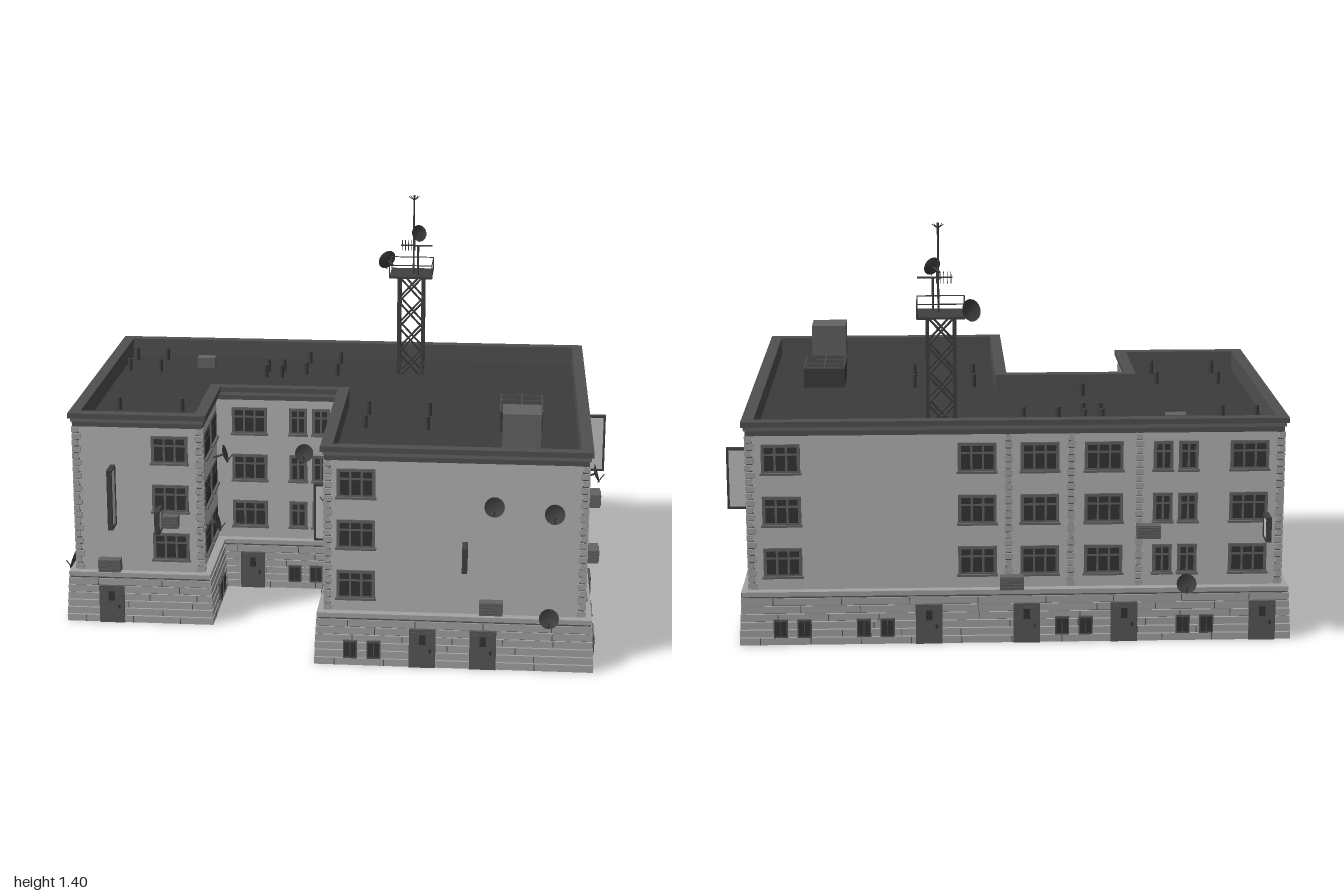
import * as THREE from 'three';

const mat = (name, color, side = THREE.FrontSide) => {
  const m = new THREE.MeshStandardMaterial({ color, side });
  m.name = name;
  return m;
};
const D = THREE.DoubleSide;
const M = {
  wall: mat('pale plaster', 0xb4b4b4, D), stone: mat('plinth stone', 0xa3a3a3), joint: mat('joint grey', 0x565656),
  frame: mat('window frame', 0x636363), glass: mat('dark glass', 0x343434), door: mat('door grey', 0x585858),
  trim: mat('cornice grey', 0x505050), roof: mat('roof felt', 0x3b3b3b, D), metal: mat('dark metal', 0x404040, D),
  panel: mat('sign panel', 0xc2c2c2),
};

// Wall corners as (x, -z), pushed outwards by o
function outline(o) {
  const left = -0.89 - o, right = 0.9 + o, back = 0.71 + o, courtL = -0.44 + o, courtR = 0.03 - o;
  const wing = -0.38 - o, court = 0.01 - o, front = -0.7 - o;
  return [[left, wing], [courtL, wing], [courtL, court], [courtR, court], [courtR, front], [right, front], [right, back], [left, back]]
    .map(p => new THREE.Vector2(...p));
}

const add = (parent, name, geo, m, x = 0, y = 0, z = 0) => {
  const mesh = new THREE.Mesh(geo, m);
  mesh.name = name;
  mesh.position.set(x, y, z);
  parent.add(mesh);
  return mesh;
};
const box = (p, name, m, w, h, d, x, y, z) => add(p, name, new THREE.BoxGeometry(w, h, d), m, x, y, z);

// Horizontal ring following the outline
function ring(p, name, m, outer, inner, y0, y1) {
  const s = new THREE.Shape(outline(outer));
  s.holes.push(new THREE.Path(outline(inner).reverse()));
  const g = new THREE.ExtrudeGeometry(s, { depth: y1 - y0, bevelEnabled: false });
  g.rotateX(-Math.PI / 2);
  add(p, name, g, m, 0, y0, 0);
}

// Straight bar between two points
function bar(p, name, m, a, b, r, sides = 5) {
  const A = new THREE.Vector3(...a), B = new THREE.Vector3(...b), v = B.clone().sub(A);
  const mesh = add(p, name, new THREE.CylinderGeometry(r, r, v.length(), sides), m);
  mesh.position.copy(A).add(B).multiplyScalar(0.5);
  mesh.quaternion.setFromUnitVectors(new THREE.Vector3(0, 1, 0), v.normalize());
}

function makeWindow(p, u, y, w) {
  const g = new THREE.Group();
  g.name = 'window';
  g.position.set(u, y, 0);
  const n = w > 0.1 ? 3 : 2, pane = (w - 0.014) / n;
  box(g, 'windowFrame', M.frame, w, 0.1, 0.012, 0, 0, 0);
  for (let i = 0; i < n; i++) {
    const x = (i - (n - 1) / 2) * pane;
    box(g, 'lowerPane', M.glass, pane - 0.008, 0.052, 0.016, x, -0.014, 0);
    box(g, 'upperPane', M.glass, pane - 0.008, 0.02, 0.016, x, 0.03, 0);
  }
  box(g, 'windowSill', M.frame, w + 0.008, 0.007, 0.022, 0, -0.051, 0.004);
  p.add(g);
}

function makeDoor(p, u) {
  box(p, 'doorFrame', M.joint, 0.09, 0.138, 0.03, u, 0.069, 0.029);
  box(p, 'door', M.door, 0.076, 0.128, 0.033, u, 0.065, 0.029);
  box(p, 'doorWindow', M.glass, 0.022, 0.035, 0.036, u, 0.102, 0.029);
  box(p, 'doorHandle', M.glass, 0.008, 0.014, 0.037, u + 0.026, 0.062, 0.029);
}

function makeCellarWindow(p, u) {
  box(p, 'cellarFrame', M.joint, 0.048, 0.064, 0.03, u, 0.058, 0.028);
  for (const k of [-1, 1]) box(p, 'cellarPane', M.glass, 0.018, 0.052, 0.033, u + k * 0.0105, 0.058, 0.028);
}

// Shallow bowl with feed and bracket, facing +z
function makeDish(p, x, y, z, r = 0.034, ry = 0) {
  const g = new THREE.Group();
  g.name = 'satelliteDish';
  const pts = [0, 0.35, 0.7, 1].map(t => new THREE.Vector2(t * r, t * t * r * 0.3));
  const bowl = add(g, 'dishBowl', new THREE.LatheGeometry(pts, 16), M.metal);
  bowl.rotation.x = Math.PI / 2 - 0.3;
  bar(g, 'dishFeed', M.metal, [0, -r * 0.9, 0.012], [0, 0, r], 0.002);
  bar(g, 'dishBracket', M.metal, [0, 0, 0], [0, -0.012, -0.035], 0.004);
  g.position.set(x, y, z);
  g.rotation.y = ry;
  p.add(g);
}

function makeAirUnit(p, u, y) {
  box(p, 'airUnit', M.frame, 0.08, 0.045, 0.036, u, y, 0.03);
  for (let i = 0; i < 4; i++) box(p, 'airUnitLouvre', M.joint, 0.07, 0.004, 0.004, u, y - 0.015 + i * 0.01, 0.049);
}

// Framed board standing out from a wall
function makeSign(p, u, y, h) {
  const reach = 0.075, z = 0.03 + reach / 2;
  box(p, 'signPanel', M.panel, 0.012, h - 0.012, reach - 0.012, u, y, z);
  for (const k of [-1, 1]) {
    box(p, 'signFrame', M.metal, 0.018, 0.008, reach, u, y + k * (h / 2 - 0.004), z);
    box(p, 'signFrame', M.metal, 0.018, h, 0.008, u, y, z + k * (reach / 2 - 0.004));
    bar(p, 'signBracket', M.metal, [u, y + k * h * 0.35, 0], [u, y + k * h * 0.35, 0.035], 0.003);
  }
}

// Alternating stones at a corner (dir inwards) or as a pilaster (dir 0)
function makeQuoins(p, u, dir) {
  for (let i = 0; i < 22; i++) {
    const w = i % 2 ? 0.018 : 0.028, y = 0.198 + i * 0.0243;
    box(p, 'quoin', M.stone, w, 0.0205, 0.014, u + dir * (w / 2 - 0.006), y, 0.002);
    box(p, 'quoinJoint', M.joint, 0.02, 0.004, 0.008, u + dir * 0.007, y + 0.0122, 0.001);
  }
}

const pairs = (list, gap) => (list || []).flatMap(t => [t - gap / 2, t + gap / 2]);

// Facade on outline edge i; positions in f are world x or z along the wall
function makeFacade(root, f, i) {
  const pts = outline(0), A = pts[i], B = pts[(i + 1) % 8];
  const a = Math.atan2(B.y - A.y, B.x - A.x), c = Math.round(Math.cos(a)), n = Math.round(Math.sin(a));
  const s = c - n, u0 = A.x * c + A.y * n, u1 = B.x * c + B.y * n, d = A.x * n - A.y * c;
  const g = new THREE.Group();
  g.name = f.name;
  g.rotation.y = a;
  g.position.set(n * d, 0, c * d);
  const rect = (P, x0, x1, y0, y1) => new P([[x0, y0], [x1, y0], [x1, y1], [x0, y1]].map(q => new THREE.Vector2(...q)));
  const wall = rect(THREE.Shape, u0, u1, 0.17, 0.73);
  const windows = (w, list) => list.forEach(t => [0.28, 0.46, 0.64].forEach(y => {
    const h = w / 2 - 0.002;
    wall.holes.push(rect(THREE.Path, t * s - h, t * s + h, y - 0.048, y + 0.048));
    makeWindow(g, t * s, y, w);
  }));
  windows(0.13, f.wide || []);
  windows(0.066, pairs(f.twin, 0.085));
  add(g, 'wall', new THREE.ShapeGeometry(wall), M.wall);
  // Quoins on outward corners only
  if (i !== 2 && i !== 3) makeQuoins(g, u0, 1);
  if (i !== 1 && i !== 2) makeQuoins(g, u1, -1);
  // Staggered joints in the plinth courses
  for (let r = 0; r < 6; r++) for (let u = u0 + 0.03 + (r * 0.077) % 0.17; u < u1; u += 0.17 + 0.03 * (r % 3))
    box(g, 'stoneJoint', M.joint, 0.003, 0.0235, 0.004, u, r * 0.0275 + 0.012, 0.038 - r * 0.0015);
  const each = (list, build) => (list || []).forEach(([t, y]) => build(t * s, y));
  (f.pilasters || []).forEach(t => makeQuoins(g, t * s, 0));
  (f.doors || []).forEach(t => makeDoor(g, t * s));
  pairs(f.cellar, 0.08).forEach(t => makeCellarWindow(g, t * s));
  each(f.dishes, (u, y) => makeDish(g, u, y, 0.038));
  each(f.air, (u, y) => makeAirUnit(g, u, y));
  each(f.tallSigns, (u, y) => makeSign(g, u, y, 0.22));
  each(f.smallSigns, (u, y) => makeSign(g, u, y, 0.085));
  root.add(g);
}

const FACADES = [
  { name: 'leftWingFacade', wide: [-0.552], doors: [-0.765], air: [[-0.77, 0.215], [-0.56, 0.385]],
    tallSigns: [[-0.75, 0.48]], smallSigns: [[-0.585, 0.4]] },
  { name: 'courtLeftFacade', wide: [0.1, 0.27], cellar: [0.18], dishes: [[0.1, 0.54], [0.31, 0.35]] },
  { name: 'courtBackFacade', wide: [-0.317], twin: [-0.094], doors: [-0.305], cellar: [-0.108], dishes: [[-0.11, 0.53]] },
  { name: 'courtRightFacade', wide: [0.14, 0.36, 0.58], doors: [0.36], cellar: [0.18, 0.56], dishes: [[0.14, 0.4]],
    tallSigns: [[0.03, 0.305]] },
  { name: 'rightWingFacade', wide: [0.131], doors: [0.36, 0.565], cellar: [0.155], air: [[0.59, 0.22]],
    dishes: [[0.595, 0.58], [0.795, 0.56], [0.785, 0.19]], smallSigns: [[0.5, 0.41]] },
  { name: 'rightFacade', wide: [0.588], twin: [-0.123, -0.353, -0.588], pilasters: [0], doors: [0.14, -0.565],
    cellar: [0.575, 0.358, -0.353], dishes: [[0.33, 0.575]], air: [[0.58, 0.57], [0.59, 0.375]], tallSigns: [[-0.36, 0.48]] },
  { name: 'backFacade', wide: [0.79, 0.135, -0.075, -0.29, -0.78], twin: [-0.532], pilasters: [0.03, -0.18, -0.41],
    doors: [0.3, -0.03, -0.36, -0.83], cellar: [0.76, 0.48, -0.19, -0.6], dishes: [[-0.57, 0.2]],
    air: [[0.02, 0.21], [-0.44, 0.385]], smallSigns: [[-0.835, 0.405]] },
  { name: 'leftFacade', wide: [-0.58, 0.24], twin: [-0.357, -0.06], doors: [-0.5], cellar: [-0.21, 0.09],
    dishes: [[0.26, 0.17]], air: [[-0.02, 0.575]], tallSigns: [[-0.16, 0.32]] },
];

function makeTower(root) {
  const g = new THREE.Group();
  g.name = 'antennaTower';
  g.position.set(0.252, 0, -0.527);
  const h = 0.046, c = [[-h, -h], [h, -h], [h, h], [-h, h]];
  c.forEach(([x, z], i) => {
    const [x2, z2] = c[(i + 1) % 4];
    box(g, 'towerLeg', M.metal, 0.012, 0.4, 0.012, x, 0.895, z);
    for (let y = 0.69; y < 1.05; y += 0.1) {
      bar(g, 'towerBrace', M.metal, [x, y, z], [x2, y + 0.1, z2], 0.004);
      bar(g, 'towerBrace', M.metal, [x2, y, z2], [x, y + 0.1, z], 0.004);
    }
    const k = 1.75, top = [x * k, 1.14, z * k];
    bar(g, 'railing', M.metal, top, [x2 * k, 1.14, z2 * k], 0.002);
    bar(g, 'railPost', M.metal, [x * k, 1.09, z * k], top, 0.002);
  });
  box(g, 'platform', M.metal, 0.162, 0.008, 0.162, 0, 1.092, 0);
  bar(g, 'mast', M.metal, [0.008, 1.09, 0.02], [0.008, 1.4, 0.02], 0.0035, 8);
  bar(g, 'shortMast', M.metal, [0.026, 1.09, 0.045], [0.026, 1.21, 0.045], 0.004, 8);
  bar(g, 'aerialBoom', M.metal, [-0.04, 1.21, 0.04], [0.08, 1.21, 0.04], 0.003);
  for (let i = 0; i < 5; i++) box(g, 'aerialRod', M.metal, 0.003, 0.04, 0.003, -0.035 + i * 0.012, 1.21, 0.04);
  for (let i = 0; i < 8; i++) {
    const a = i * Math.PI / 4;
    bar(g, 'mastWhisker', M.metal, [0.008, 1.38, 0.02], [0.008 + 0.02 * Math.cos(a), 1.395, 0.02 + 0.02 * Math.sin(a)], 0.001, 4);
  }
  makeDish(g, 0.023, 1.25, 0.01, 0.032, 0.6);
  makeDish(g, -0.095, 1.12, -0.095, 0.038, -2.5);
  root.add(g);
}

export function createModel() {
  const root = new THREE.Group();
  root.name = 'building';
  // Battered plinth in stone courses
  ring(root, 'plinthCore', M.joint, 0.027, 0.016, 0, 0.17);
  for (let i = 0; i < 6; i++) ring(root, 'plinthCourse', M.stone, 0.039 - i * 0.0015, 0.02, i * 0.0275, i * 0.0275 + 0.0245);
  ring(root, 'plinthCap', M.stone, 0.03, -0.002, 0.168, 0.184);
  FACADES.forEach((f, i) => makeFacade(root, f, i));

  // Stepped cornice, parapet and roof deck
  ring(root, 'corniceBed', M.trim, 0.006, -0.02, 0.72, 0.738);
  ring(root, 'corniceStep', M.frame, 0.011, -0.01, 0.738, 0.752);
  ring(root, 'parapet', M.trim, 0.019, -0.022, 0.752, 0.77);
  ring(root, 'parapetInside', M.trim, -0.004, -0.022, 0.7, 0.752);
  const deck = new THREE.ShapeGeometry(new THREE.Shape(outline(-0.003)));
  deck.rotateX(-Math.PI / 2);
  add(root, 'roofDeck', deck, M.roof, 0, 0.702, 0);

  // Roof hut, skylight, vents
  box(root, 'roofHut', M.frame, 0.13, 0.16, 0.125, 0.68, 0.78, 0.528);
  box(root, 'skylight', M.roof, 0.15, 0.07, 0.215, 0.68, 0.742, 0.172);
  for (let i = 0; i < 3; i++) box(root, 'skylightBar', M.trim, 0.005, 0.006, 0.215, 0.607 + i * 0.073, 0.78, 0.172);
  for (let i = 0; i < 4; i++) box(root, 'skylightBar', M.trim, 0.15, 0.006, 0.005, 0.68, 0.78, 0.067 + i * 0.07);
  box(root, 'roofVent', M.frame, 0.07, 0.04, 0.045, -0.55, 0.722, -0.535);
  const vent = (x, z) => add(root, 'ventPipe', new THREE.CylinderGeometry(0.009, 0.009, 0.05, 8), M.metal, x, 0.725, z);
  const vents = (x, z, w, d) => [0, w].forEach(i => [0, d].forEach(j => vent(x + i, z + j)));
  vents(-0.84, -0.62, 0.12, 0.17);
  vents(-0.15, -0.62, 0.12, 0.17);
  vents(-0.3, -0.49, 0.06, 0.09);
  vents(-0.78, 0.1, 0.23, 0.19);
  vents(0.13, 0.08, 0.22, 0.18);
  vent(-0.26, -0.09);
  makeTower(root);
  return root;
}
